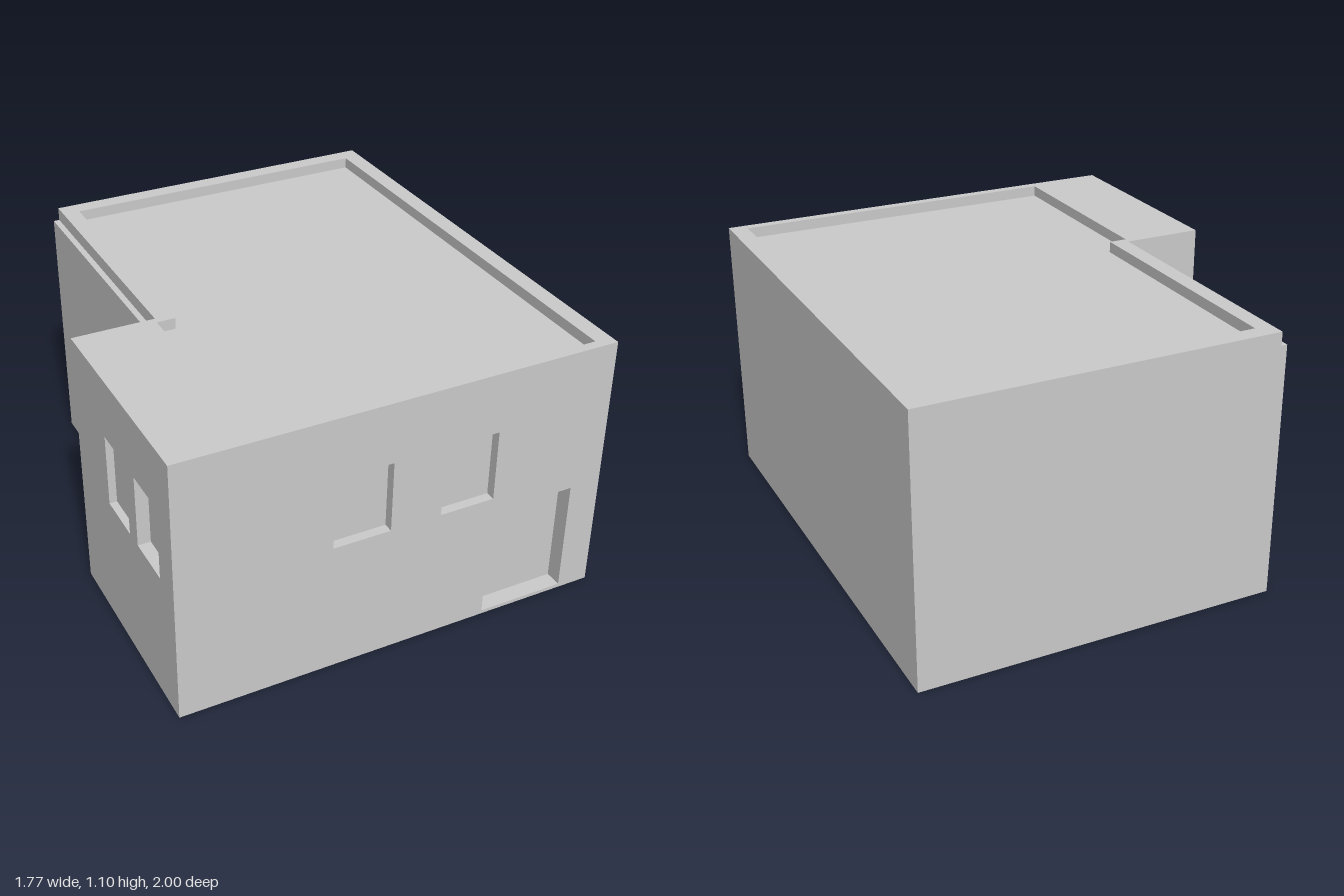
import * as THREE from 'three';

const material = new THREE.MeshStandardMaterial({ color: 0xcccccc, side: THREE.DoubleSide });
const LEDGE = 1.04, FLOOR = 1.05, TOP = 1.095;

// Plan outlines as [x, z], running front, left, back, right side.
const bodyPlan = [[-0.887, 1], [0.887, 1], [0.887, -1], [-0.58, -1], [-0.58, 0.09], [-0.887, 0.09]];
const parapetPlan = bodyPlan.map(([x, z]) => [x === -0.58 ? -0.555 : x, z]);
const recessPlan = [[-0.56, 0.96], [0.815, 0.96], [0.815, -0.93], [-0.485, -0.93], [-0.485, 0.12], [-0.56, 0.12]];

// Openings per wall index: u along the wall from its start, y range, depth.
const openings = {
  0: [
    { name: 'frontWindow', u0: 0.612, u1: 0.847, y0: 0.55, y1: 0.845, depth: 0.04 },
    { name: 'frontWindow', u0: 1.057, u1: 1.284, y0: 0.55, y1: 0.845, depth: 0.04 },
    { name: 'door', u0: 1.279, u1: 1.642, y0: 0.015, y1: 0.485, depth: 0.07 },
  ],
  5: [
    { name: 'sideWindow', u0: 0.305, u1: 0.51, y0: 0.55, y1: 0.845, depth: 0.03 },
    { name: 'sideWindow', u0: 0.585, u1: 0.79, y0: 0.55, y1: 0.845, depth: 0.05 },
  ],
};

function mesh(name, geometry) {
  const m = new THREE.Mesh(geometry, material);
  m.name = name;
  return m;
}

function rectangle(PathType, x0, y0, x1, y1) {
  return new PathType([[x0, y0], [x1, y0], [x1, y1], [x0, y1]].map(([x, y]) => new THREE.Vector2(x, y)));
}

// Recessed niche: a box whose front is left open.
function niche({ name, u0, u1, y0, y1, depth }) {
  const box = new THREE.BoxGeometry(u1 - u0, y1 - y0, depth);
  box.setIndex(Array.from(box.index.array).filter((_, i) => i < 24 || i >= 30));
  box.clearGroups();
  box.translate((u0 + u1) / 2, (y0 + y1) / 2, -depth / 2);
  return mesh(name, box);
}

// Thin wall from a to b, pierced by its openings.
function wall(name, a, b, y0, y1, holes = []) {
  const dx = b[0] - a[0], dz = b[1] - a[1];
  const shape = rectangle(THREE.Shape, 0, y0, Math.hypot(dx, dz), y1);
  shape.holes = holes.map(o => rectangle(THREE.Path, o.u0, o.y0, o.u1, o.y1));
  const group = new THREE.Group();
  group.name = name;
  group.add(mesh(name + 'Surface', new THREE.ShapeGeometry(shape)), ...holes.map(niche));
  group.position.set(a[0], 0, a[1]);
  group.rotation.y = Math.atan2(-dz, dx);
  return group;
}

function wallLoop(name, plan, y0, y1, holes = {}) {
  const group = new THREE.Group();
  group.name = name;
  plan.forEach((p, i) => group.add(wall(name + 'Side', p, plan[(i + 1) % plan.length], y0, y1, holes[i])));
  return group;
}

// Horizontal slab surface following a plan, facing up.
function flat(name, plan, y, holePlan) {
  const points = list => list.map(([x, z]) => new THREE.Vector2(x, -z));
  const shape = new THREE.Shape(points(plan));
  if (holePlan) shape.holes.push(new THREE.Path(points(holePlan)));
  return mesh(name, new THREE.ShapeGeometry(shape).rotateX(-Math.PI / 2).translate(0, y, 0));
}

export function createModel() {
  const model = new THREE.Group();
  model.name = 'house';
  model.add(
    // Main walls, open underneath
    wallLoop('wall', bodyPlan, 0, LEDGE, openings),
    // Parapet, set back slightly above the ledge
    wallLoop('parapet', parapetPlan, LEDGE, TOP),
    flat('ledge', [[-0.58, 0.09], [-0.555, 0.09], [-0.555, -1], [-0.58, -1]], LEDGE),
    flat('parapetTop', parapetPlan, TOP, recessPlan),
    // Sunken roof; the reversed order faces its sides inward
    wallLoop('roofRecess', [...recessPlan].reverse(), FLOOR, TOP),
    flat('roof', recessPlan, FLOOR),
  );
  return model;
}
